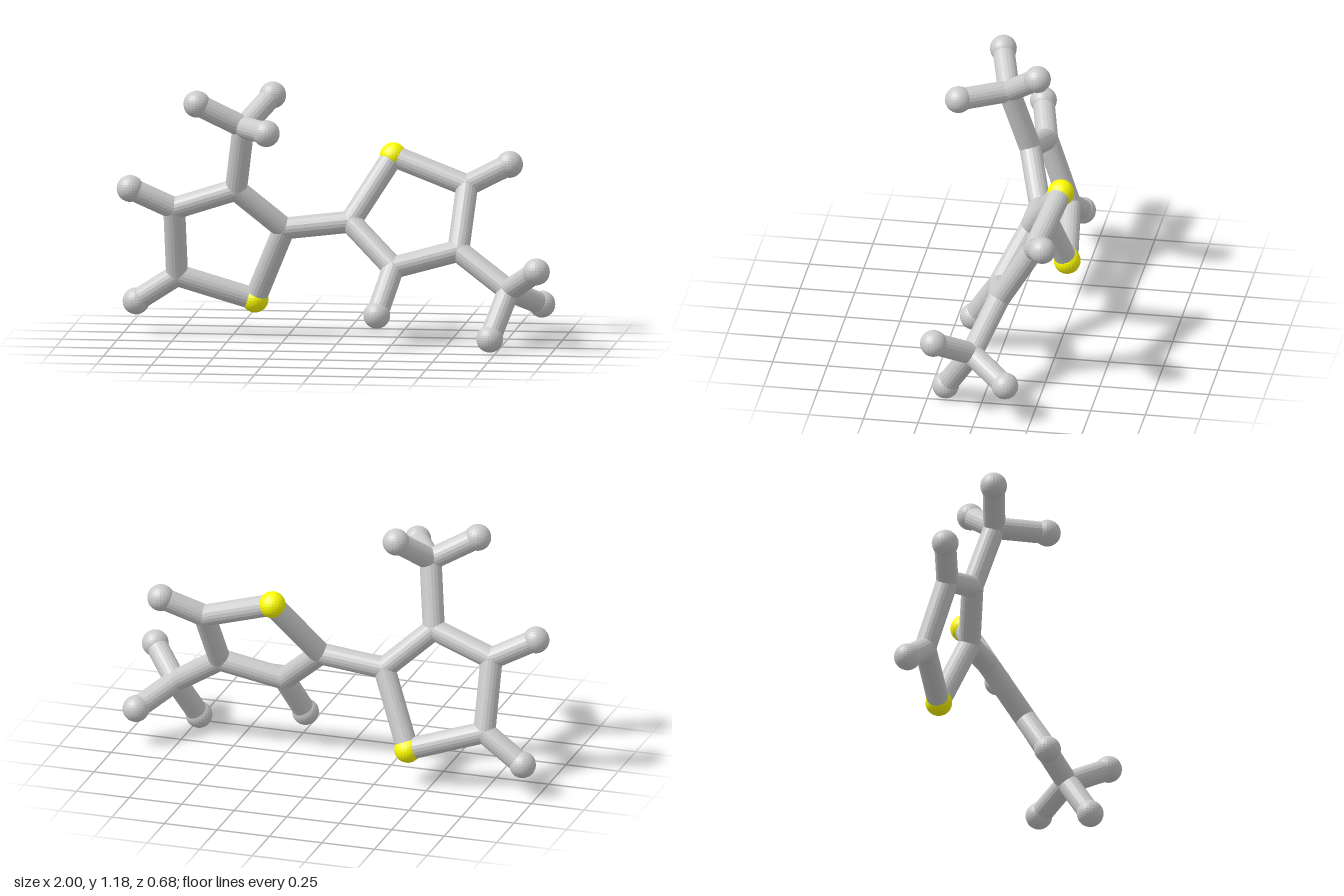
import * as THREE from 'three';

const BOND_R = 0.05;
const RADII = { carbon: 0.0505, sulfur: 0.061, hydrogen: 0.061 };

// Atom centres: the a-ring (right-hand side) and the b-ring (left-hand side)
const ATOMS = {
  carbon: {
    a1: [-0.25, 0.515, -0.10], a2: [-0.46, 0.70, -0.02], a3: [-0.745, 0.605, -0.05],
    a4: [-0.745, 0.285, -0.155], aMethyl: [-0.415, 1.0, 0.07],
    b1: [0.05, 0.55, -0.105], b2: [0.26, 0.36, 0.005], b3: [0.55, 0.435, -0.045],
    b4: [0.57, 0.71, -0.21], bMethyl: [0.79, 0.27, 0.04],
  },
  sulfur: { aS: [-0.395, 0.175, -0.20], bS: [0.225, 0.83, -0.275] },
  hydrogen: {
    a3H: [-0.94, 0.70, 0], a4H: [-0.935, 0.16, -0.18],
    aM1: [-0.62, 1.11, 0.13], aM2: [-0.30, 1.127, -0.08], aM3: [-0.285, 1.003, 0.28],
    b2H: [0.20, 0.16, 0.13], b4H: [0.755, 0.80, -0.278],
    bM1: [0.935, 0.38, 0.19], bM2: [0.92, 0.185, -0.135], bM3: [0.72, 0.066, 0.17],
  },
};

// Each chain is a run of atoms joined one after another
const CHAINS = {
  rightRing: ['a1 a2 a3 a4 aS a1'],
  leftRing: ['b1 b2 b3 b4 bS b1'],
  ringLink: ['a1 b1'],
  rightMethyl: ['a2 aMethyl', 'aMethyl aM1', 'aMethyl aM2', 'aMethyl aM3'],
  leftMethyl: ['b3 bMethyl', 'bMethyl bM1', 'bMethyl bM2', 'bMethyl bM3'],
  hydrogenStems: ['a3 a3H', 'a4 a4H', 'b2 b2H', 'b4 b4H'],
};

export function createModel() {
  const model = new THREE.Group();
  model.name = 'ballAndStickMolecule';
  const grey = new THREE.MeshStandardMaterial({ color: 0xcccccc, flatShading: true });
  const yellow = new THREE.MeshStandardMaterial({ color: 0xffff00, flatShading: true });
  const points = {};

  // Atom balls
  for (const [kind, atoms] of Object.entries(ATOMS)) {
    const group = new THREE.Group();
    group.name = kind + 'Atoms';
    const ball = new THREE.SphereGeometry(RADII[kind], 24, 16);
    for (const [id, p] of Object.entries(atoms)) {
      points[id] = new THREE.Vector3(...p);
      const mesh = new THREE.Mesh(ball, kind === 'sulfur' ? yellow : grey);
      mesh.name = kind + 'Atom';
      mesh.position.copy(points[id]);
      group.add(mesh);
    }
    model.add(group);
  }

  // Bond rods, each turned from the y axis to point along its pair of atoms
  const up = new THREE.Vector3(0, 1, 0);
  const addBond = (group, from, to) => {
    const dir = to.clone().sub(from);
    const length = dir.length();
    const rod = new THREE.Mesh(new THREE.CylinderGeometry(BOND_R, BOND_R, length, 20, 1, true), grey);
    rod.name = 'bond';
    rod.position.copy(from).lerp(to, 0.5);
    rod.quaternion.setFromUnitVectors(up, dir.divideScalar(length));
    group.add(rod);
  };
  for (const [name, chains] of Object.entries(CHAINS)) {
    const group = new THREE.Group();
    group.name = name;
    for (const chain of chains) {
      const ids = chain.split(' ');
      for (let i = 1; i < ids.length; i++) addBond(group, points[ids[i - 1]], points[ids[i]]);
    }
    model.add(group);
  }
  return model;
}
